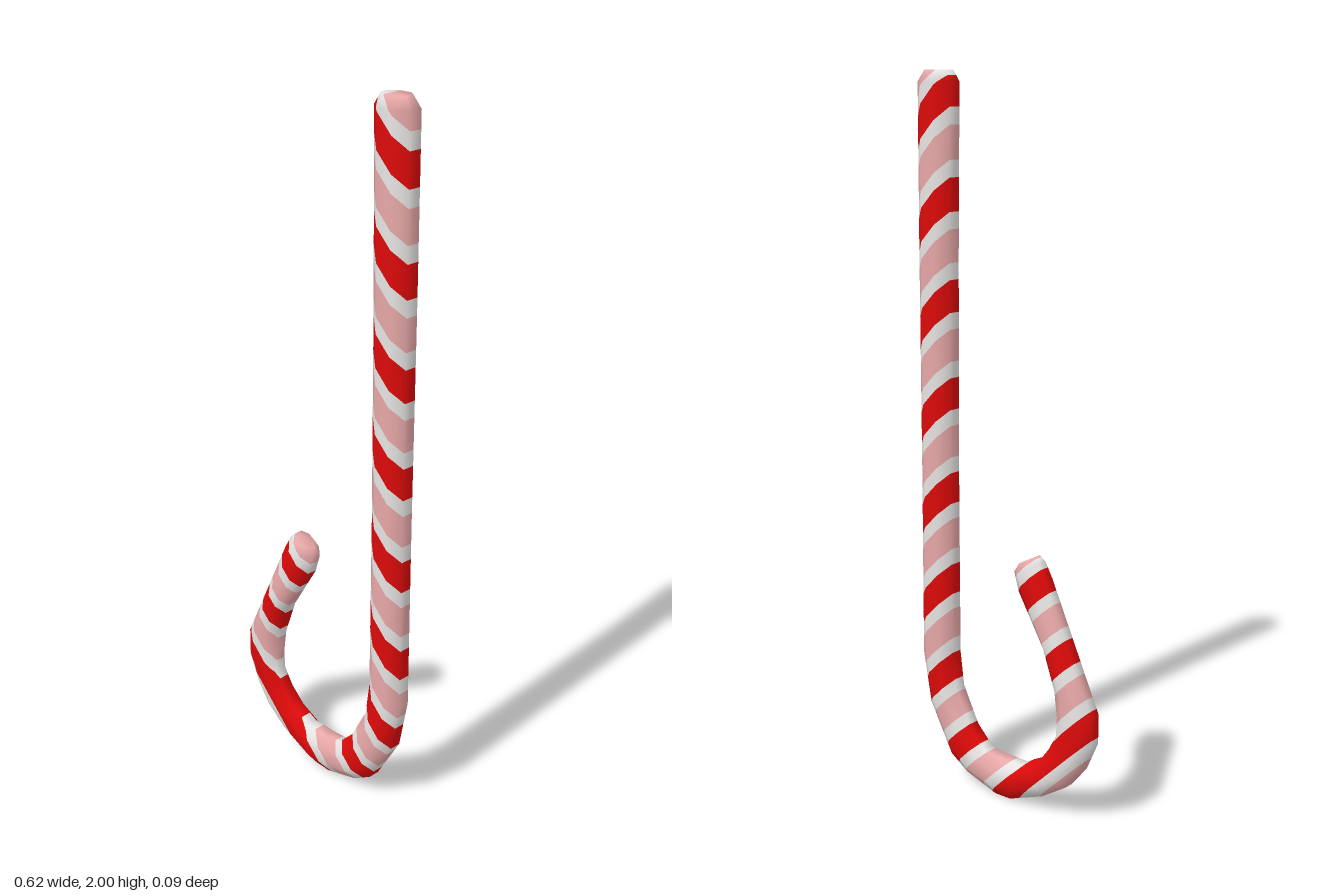
import * as THREE from 'three';

const SIDES = 8;

// Cross-sections from the top of the shaft round to the hook tip:
// outer x, y, inner x, y, back z, front z
const SECTIONS = [
  [0.275, 2.0, 0.195, 2.0, -0.03, 0.03],
  [0.294, 1.97, 0.178, 1.97, -0.046, 0.044],
  [0.299, 1.5, 0.187, 1.5, -0.043, 0.044],
  [0.302, 0.9, 0.192, 0.9, -0.04, 0.043],
  [0.308, 0.36, 0.193, 0.38, -0.037, 0.043],
  [0.28, 0.21, 0.18, 0.28, -0.037, 0.043],
  [0.2, 0.07, 0.125, 0.175, -0.037, 0.043],
  [0.14, 0.032, 0.07, 0.122, -0.037, 0.043],
  [0.03, 0.0, 0.02, 0.117, -0.037, 0.043],
  [-0.025, 0.002, -0.06, 0.117, -0.037, 0.043],
  [-0.14, 0.048, -0.135, 0.158, -0.035, 0.043],
  [-0.22, 0.1, -0.165, 0.2, -0.033, 0.043],
  [-0.272, 0.164, -0.188, 0.245, -0.032, 0.043],
  [-0.309, 0.25, -0.19, 0.3, -0.031, 0.043],
  [-0.308, 0.335, -0.18, 0.375, -0.031, 0.043],
  [-0.246, 0.466, -0.14, 0.485, -0.031, 0.043],
  [-0.145, 0.68, -0.052, 0.63, -0.031, 0.043],
  [-0.122, 0.722, -0.036, 0.683, -0.03, 0.041],
  [-0.105, 0.738, -0.05, 0.708, -0.018, 0.03],
];

// Smooth eight-sided sweep with closed ends
function sweptCane() {
  const pos = [], index = [];
  const k = 1 / Math.cos(Math.PI / SIDES);
  for (const [ox, oy, ix, iy, zb, zf] of SECTIONS) {
    for (let j = 0; j < SIDES; j++) {
      const a = ((j + 0.5) / SIDES) * Math.PI * 2;
      const c = (Math.cos(a) * k) / 2, s = (Math.sin(a) * k) / 2;
      pos.push((ox + ix) / 2 + (ox - ix) * c, (oy + iy) / 2 + (oy - iy) * c, (zb + zf) / 2 + (zf - zb) * s);
    }
  }
  const last = (SECTIONS.length - 1) * SIDES;
  for (let i = 0; i < last; i += SIDES) {
    for (let j = 0; j < SIDES; j++) {
      const n = (j + 1) % SIDES;
      index.push(i + j, i + n, i + SIDES + n, i + j, i + SIDES + n, i + SIDES + j);
    }
  }
  for (let j = 1; j < SIDES - 1; j++) {
    index.push(0, j + 1, j, last, last + j, last + j + 1);
  }
  const g = new THREE.BufferGeometry();
  g.setAttribute('position', new THREE.Float32BufferAttribute(pos, 3));
  g.setIndex(index);
  g.computeVertexNormals();
  return g.toNonIndexed();
}

// Keep the part of a polygon where sign * (x + y - level) >= 0
function clip(poly, level, sign) {
  const out = [];
  poly.forEach((p, i) => {
    const q = poly[(i + 1) % poly.length];
    const dp = sign * (p[0] + p[1] - level), dq = sign * (q[0] + q[1] - level);
    if (dp >= 0) out.push(p);
    if (dp * dq < 0) out.push(p.map((v, m) => v + ((q[m] - v) * dp) / (dp - dq)));
  });
  return out;
}

// Cut all triangles to the slanted bands [low, high]
function bandGeometry(triangles, bands) {
  const pos = [], nor = [];
  for (const [low, high] of bands) {
    for (const tri of triangles) {
      const poly = clip(clip(tri, low, 1), high, -1);
      for (let i = 1; i < poly.length - 1; i++) {
        for (const v of [poly[0], poly[i], poly[i + 1]]) {
          pos.push(v[0], v[1], v[2]);
          nor.push(v[3], v[4], v[5]);
        }
      }
    }
  }
  const g = new THREE.BufferGeometry();
  g.setAttribute('position', new THREE.Float32BufferAttribute(pos, 3));
  g.setAttribute('normal', new THREE.Float32BufferAttribute(nor, 3));
  g.normalizeNormals();
  return g;
}

export function createModel() {
  const cane = sweptCane();
  const p = cane.attributes.position, n = cane.attributes.normal;
  const triangles = [];
  for (let i = 0; i < p.count; i += 3) {
    triangles.push([i, i + 1, i + 2].map((v) => [
      p.getX(v), p.getY(v), p.getZ(v), n.getX(v), n.getY(v), n.getZ(v),
    ]));
  }

  // Repeating diagonal pattern: red, white, pink, white
  const pitch = 0.266, half = 0.044;
  const red = [], pink = [], white = [];
  for (let k = -1; k <= 9; k++) {
    const r = 0.002 + k * pitch, m = r + pitch / 2;
    red.push([r - half, r + half]);
    white.push([r + half, m - half], [m + half, r + pitch - half]);
    pink.push([m - half, m + half]);
  }

  const group = new THREE.Group();
  group.name = 'candyCane';
  const add = (name, bands, colorName, color) => {
    const material = new THREE.MeshStandardMaterial({ color });
    material.name = colorName;
    const mesh = new THREE.Mesh(bandGeometry(triangles, bands), material);
    mesh.name = name;
    group.add(mesh);
  };
  add('redStripes', red, 'red', 0xdc0a0a);
  add('pinkStripes', pink, 'pink', 0xe8a8a8);
  add('whiteStripes', white, 'white', 0xe6e4e2);
  return group;
}
